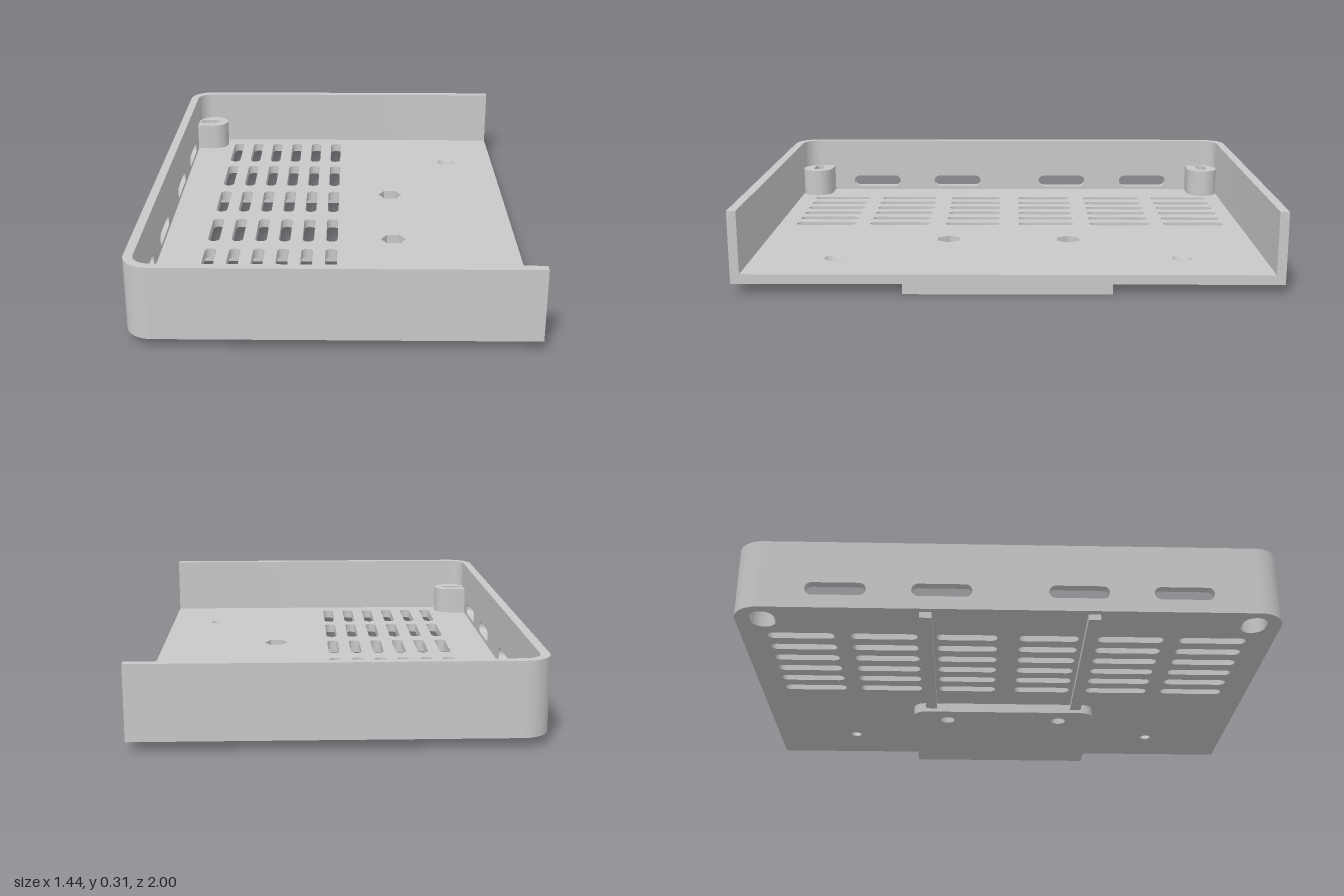
import * as THREE from 'three';
import { toCreasedNormals } from 'three/addons/utils/BufferGeometryUtils.js';

const CORNER = 0.1;   // outer corner radius
const WALL = 0.034;   // wall thickness
const X = 0.72, Z = 1;
const BASE = 0.038, FLOOR = 0.074, TOP = 0.308;

// Stadium-shaped hole, long along the larger dimension
function slot(cx, cy, w, h) {
  const p = new THREE.Path();
  const r = Math.min(w, h) / 2;
  if (w > h) {
    p.absarc(cx + w / 2 - r, cy, r, -Math.PI / 2, Math.PI / 2, false);
    p.absarc(cx - w / 2 + r, cy, r, Math.PI / 2, Math.PI * 1.5, false);
  } else {
    p.absarc(cx, cy + h / 2 - r, r, 0, Math.PI, false);
    p.absarc(cx, cy - h / 2 + r, r, Math.PI, Math.PI * 2, false);
  }
  p.closePath();
  return p;
}

function circle(cx, cy, r) {
  return new THREE.Path().absarc(cx, cy, r, 0, Math.PI * 2, false);
}

function hexagon(cx, cy, r) {
  const pts = [];
  for (let i = 0; i < 6; i++) {
    const a = i * Math.PI / 3;
    pts.push(new THREE.Vector2(cx + r * Math.cos(a), cy + r * Math.sin(a)));
  }
  return new THREE.Path(pts);
}

// Plan outline with both corners on the -x side rounded
function plan(x0, x1, z, r) {
  const s = new THREE.Shape();
  s.moveTo(x1, -z);
  s.lineTo(x1, z);
  s.lineTo(x0 + r, z);
  s.absarc(x0 + r, z - r, r, Math.PI / 2, Math.PI, false);
  s.lineTo(x0, -z + r);
  s.absarc(x0 + r, -z + r, r, Math.PI, Math.PI * 1.5, false);
  s.closePath();
  return s;
}

// Boss outline in the corner on side s: fits the wall corner, round at the +x end
function bossPlan(s) {
  const b = new THREE.Shape();
  const zIn = 0.832, zOut = Z - WALL, r = (zOut - zIn) / 2;
  b.moveTo(-X + WALL, s * zIn);
  b.lineTo(-0.613, s * zIn);
  b.absarc(-0.613, s * (zIn + r), r, -s * Math.PI / 2, s * Math.PI / 2, s < 0);
  b.absarc(-X + CORNER, s * (Z - CORNER), CORNER - WALL, s * Math.PI / 2, s * Math.PI, s < 0);
  b.closePath();
  return b;
}

function extrude(shape, depth) {
  return new THREE.ExtrudeGeometry(shape, { depth, bevelEnabled: false, curveSegments: 12 });
}

export function createModel() {
  const group = new THREE.Group();
  const grey = new THREE.MeshStandardMaterial({ color: 0xc8c8c8 });
  grey.name = 'light grey plastic';

  const add = (name, geometry) => {
    const mesh = new THREE.Mesh(toCreasedNormals(geometry, 0.6), grey);
    mesh.name = name;
    group.add(mesh);
  };
  // Plan shapes are drawn as (x, -z) and raised from y0 to y1
  const slab = (name, shape, y0, y1) =>
    add(name, extrude(shape, y1 - y0).rotateX(-Math.PI / 2).translate(0, y0, 0));

  // Floor with vents, nut pockets, screw holes and mounting recesses
  const floor = plan(-X, X, Z, CORNER);
  const rows = [[-0.9, -0.65], [-0.59, -0.34], [-0.27, -0.04], [0.04, 0.265], [0.335, 0.585], [0.645, 0.895]];
  for (const [a, b] of rows) {
    for (let i = 0; i < 6; i++) {
      floor.holes.push(slot(-0.492 + i * 0.095, -(a + b) / 2, 0.046, b - a));
    }
  }
  for (const s of [-1, 1]) {
    floor.holes.push(hexagon(0.23, s * 0.238, 0.05));
    floor.holes.push(circle(0.505, s * 0.655, 0.038));
    floor.holes.push(slot(-0.623, s * 0.898, 0.12, 0.09));
  }
  slab('floor', floor, BASE, FLOOR);

  // Raised pad under the floor
  const pad = plan(0.138, X, 0.38, 0.05);
  for (const s of [-1, 1]) pad.holes.push(circle(0.23, s * 0.238, 0.03));
  slab('bottomPad', pad, 0, BASE);

  for (const s of [-1, 1]) {
    // Side wall with its rounded corner
    const wall = new THREE.Shape();
    wall.moveTo(X, s * Z);
    wall.lineTo(-X + CORNER, s * Z);
    wall.absarc(-X + CORNER, s * (Z - CORNER), CORNER, s * Math.PI / 2, s * Math.PI, s < 0);
    wall.lineTo(-X + WALL, s * (Z - CORNER));
    wall.absarc(-X + CORNER, s * (Z - CORNER), CORNER - WALL, s * Math.PI, s * Math.PI / 2, s > 0);
    wall.lineTo(X, s * (Z - WALL));
    wall.closePath();
    slab('sideWall', wall, FLOOR, TOP);

    // Hollow mounting boss, slotted on top
    const shell = bossPlan(s);
    shell.holes.push(slot(-0.623, s * 0.898, 0.12, 0.09));
    slab('bossShell', shell, FLOOR, 0.16);
    const cap = bossPlan(s);
    cap.holes.push(slot(-0.632, s * 0.898, 0.09, 0.042));
    slab('bossCap', cap, 0.16, 0.19);

    // Countersunk screw seat, a closed ring filling the floor hole
    const seat = [[0.038, BASE], [0.038, FLOOR], [0.022, 0.046], [0.022, BASE], [0.038, BASE]]
      .map(([r, y]) => new THREE.Vector2(r, y));
    add('screwSeat', new THREE.LatheGeometry(seat, 32).translate(0.505, 0, s * 0.655));

    // Rail under the floor
    add('bottomRail', new THREE.BoxGeometry(0.84, BASE - 0.015, 0.045)
      .translate(-0.275, (BASE + 0.015) / 2, s * 0.305));
  }

  // Rear wall with four cable slots, drawn as (z, y)
  const rear = new THREE.Shape();
  const e = Z - CORNER;
  rear.moveTo(-e, FLOOR);
  rear.lineTo(e, FLOOR);
  rear.lineTo(e, TOP);
  rear.lineTo(-e, TOP);
  rear.closePath();
  for (const z of [-0.63, -0.247, 0.25, 0.632]) rear.holes.push(slot(z, 0.115, 0.22, 0.05));
  add('slottedWall', extrude(rear, WALL).rotateY(-Math.PI / 2).translate(-X + WALL, 0, 0));

  return group;
}
